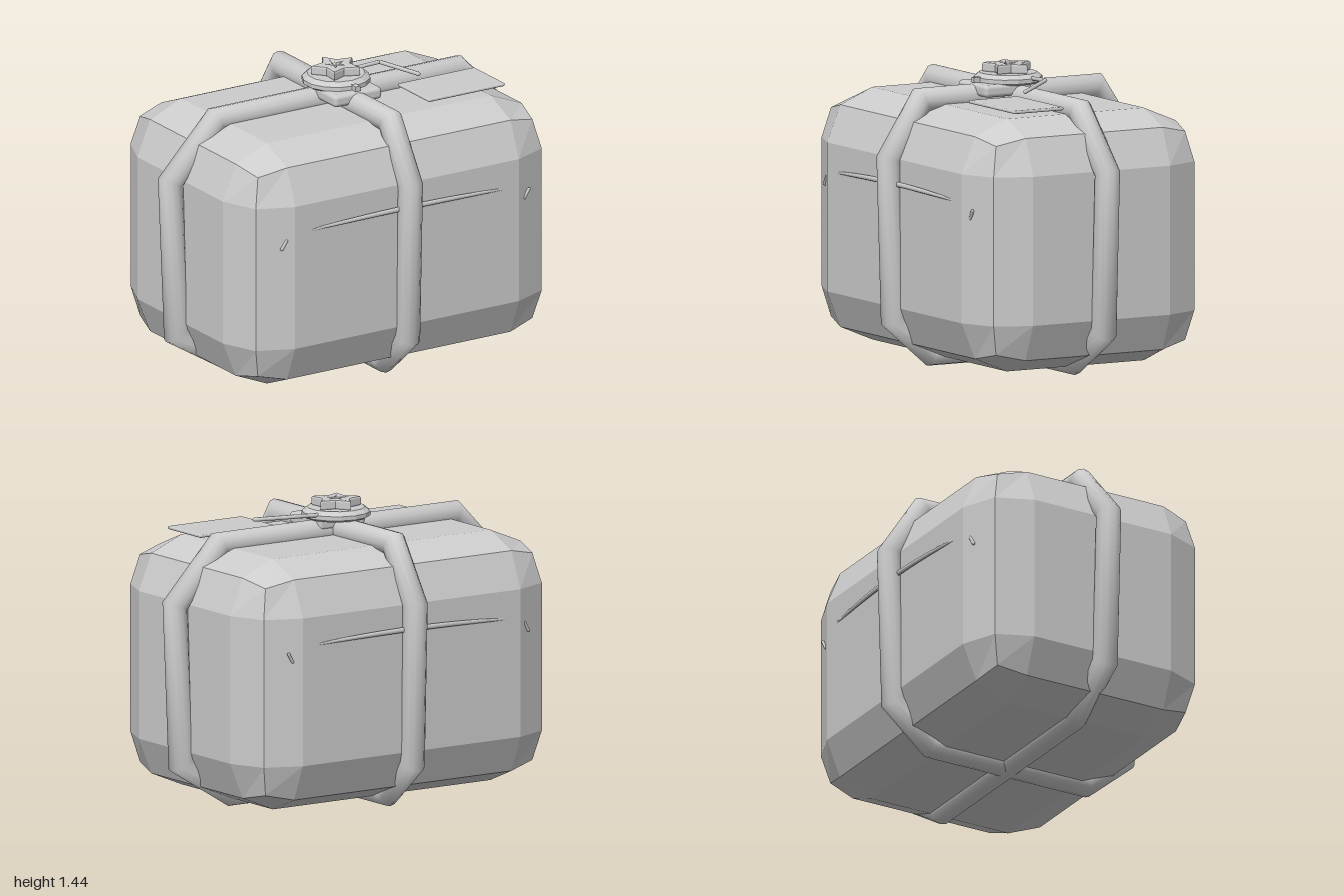
import * as THREE from 'three';
import { RoundedBoxGeometry } from 'three/addons/geometries/RoundedBoxGeometry.js';

const grey = new THREE.MeshStandardMaterial({ color: 0xcccccc, side: THREE.DoubleSide });
grey.name = 'plain grey';

function add(parent, name, geometry, x = 0, y = 0, z = 0) {
  const mesh = new THREE.Mesh(geometry, grey);
  mesh.name = name;
  mesh.position.set(x, y, z);
  parent.add(mesh);
  return mesh;
}

function flat(geometry) {
  const g = geometry.index ? geometry.toNonIndexed() : geometry;
  g.computeVertexNormals();
  return g;
}

// Box whose edges are rounded in two facets, with one point at each corner
function bundleGeometry(half, r) {
  const g = new THREE.BoxGeometry(1, 1, 1, 3, 3, 3);
  const p = g.attributes.position;
  const v = new THREE.Vector3();
  for (let i = 0; i < p.count; i++) {
    v.fromBufferAttribute(p, i);
    const c = v.toArray();
    const dir = new THREE.Vector3(...c.map((a) => (Math.abs(a) > 0.4 ? Math.sign(a) : 0))).normalize();
    v.set(...c.map((a, k) => Math.sign(a) * half[k])).addScaledVector(dir, r);
    p.setXYZ(i, v.x, v.y, v.z);
  }
  return flat(g);
}

// Closed mitred round strap in the XY plane, mirrored from its right half
function strapGeometry(rightHalf, r, sides = 12) {
  const left = rightHalf.map(([x, y]) => [-x, y]).reverse();
  const pts = [...rightHalf, ...left].map(([x, y]) => new THREE.Vector2(x, y));
  const n = pts.length;
  const outward = (a, b) => {
    const d = b.clone().sub(a).normalize();
    return new THREE.Vector2(-d.y, d.x);
  };
  const pos = [];
  const idx = [];
  for (let i = 0; i < n; i++) {
    const n1 = outward(pts[(i + n - 1) % n], pts[i]);
    const n2 = outward(pts[i], pts[(i + 1) % n]);
    const m = n1.clone().add(n2).multiplyScalar(r / (1 + n1.dot(n2)));
    for (let k = 0; k < sides; k++) {
      const a = (k / sides) * Math.PI * 2;
      pos.push(pts[i].x + m.x * Math.cos(a), pts[i].y + m.y * Math.cos(a), r * Math.sin(a));
      const k2 = (k + 1) % sides;
      const j = (i + 1) % n;
      const [A, B, C, D] = [i * sides + k, i * sides + k2, j * sides + k, j * sides + k2];
      idx.push(A, B, C, B, D, C);
    }
  }
  const g = new THREE.BufferGeometry();
  g.setAttribute('position', new THREE.Float32BufferAttribute(pos, 3));
  g.setIndex(idx);
  g.computeVertexNormals();
  return g;
}

function starPoints(outer, inner) {
  return Array.from({ length: 10 }, (_, i) => {
    const a = Math.PI / 2 + (i * Math.PI) / 5;
    const r = i % 2 ? inner : outer;
    return new THREE.Vector2(r * Math.cos(a), r * Math.sin(a));
  });
}

// Thin bowed crease, pointed at both ends
function creaseGeometry() {
  const g = new THREE.SphereGeometry(1, 8, 24).rotateZ(Math.PI / 2);
  const p = g.attributes.position;
  for (let i = 0; i < p.count; i++) {
    const x = p.getX(i);
    const bow = 0.02 * (1 - x * x);
    p.setXYZ(i, x * 0.58, 0.882 + bow + p.getY(i) * 0.013, 0.625 + bow + p.getZ(i) * 0.01);
  }
  g.computeVertexNormals();
  return g;
}

function addRod(parent, name, from, to, r) {
  const a = new THREE.Vector3(...from);
  const d = new THREE.Vector3(...to).sub(a);
  const rod = add(parent, name, new THREE.CapsuleGeometry(r, d.length(), 3, 8));
  rod.position.copy(a).addScaledVector(d, 0.5);
  rod.quaternion.setFromUnitVectors(new THREE.Vector3(0, 1, 0), d.normalize());
}

export function createModel() {
  const model = new THREE.Group();
  model.name = 'strappedBundle';

  add(model, 'bundle', bundleGeometry([0.635, 0.36, 0.38], 0.25), 0, 0.66, 0);

  // Straps around the bundle, crossing on top and underneath
  add(model, 'longStrap', strapGeometry(
    [[0.684, 1.285], [0.939, 1.017], [0.906, 0.245], [0.613, 0.065]], 0.06));
  add(model, 'crossStrap', strapGeometry(
    [[0.482, 1.29], [0.66, 1.018], [0.636, 0.243], [0.428, 0.065]], 0.06)).rotation.y = Math.PI / 2;

  // Creases and small stitches on front and back
  for (const side of [1, -1]) {
    add(model, 'crease', creaseGeometry()).rotation.y = side > 0 ? 0 : Math.PI;
    for (const x of [-0.685, 0.692]) {
      addRod(model, 'stitch', [x - 0.012, 0.81, side * 0.608], [x + 0.012, 0.85, side * 0.611], 0.008);
    }
  }

  // Buckle: block, round plate and star
  const buckle = new THREE.Group();
  buckle.name = 'buckle';
  model.add(buckle);
  add(buckle, 'buckleBlock', new RoundedBoxGeometry(0.27, 0.06, 0.26, 2, 0.02), 0, 1.325, 0.073);
  const rim = [[0, 1.345], [0.15, 1.345], [0.165, 1.355], [0.165, 1.375], [0.14, 1.395], [0, 1.395]]
    .map(([x, y]) => new THREE.Vector2(x, y));
  add(buckle, 'buckleDisc', flat(new THREE.LatheGeometry(rim, 14)));
  add(buckle, 'buckleTab', new THREE.BoxGeometry(0.026, 0.025, 0.05), 0, 1.368, 0.17);

  const star = new THREE.Shape(starPoints(0.107, 0.058));
  star.holes.push(new THREE.Path(starPoints(0.062, 0.028).reverse()));
  const starGeometry = new THREE.ExtrudeGeometry(star, {
    depth: 0.03, bevelEnabled: true, bevelThickness: 0.01, bevelSize: 0.012, bevelSegments: 2,
  });
  add(buckle, 'star', starGeometry.rotateX(-Math.PI / 2), 0, 1.4, 0);

  // Faceted star-shaped hollow
  const pit = new THREE.ConeGeometry(1, 0.025, 10, 1, true).rotateX(Math.PI);
  const pp = pit.attributes.position;
  const tips = starPoints(0.058, 0.026);
  for (let i = 0; i < pp.count; i++) {
    if (pp.getY(i) < 0) continue;
    const a = Math.atan2(-pp.getZ(i), pp.getX(i)) - Math.PI / 2;
    const t = tips[((Math.round(a / (Math.PI / 5)) % 10) + 10) % 10];
    pp.setXYZ(i, t.x, pp.getY(i), -t.y);
  }
  add(buckle, 'starHollow', flat(pit), 0, 1.418, 0);

  // Cord leading from the buckle to the tag
  const cord = [[0.14, 1.375, -0.05], [0.275, 1.382, -0.045], [0.385, 1.352, 0.13]];
  for (let i = 0; i < 2; i++) addRod(model, 'tagCord', cord[i], cord[i + 1], 0.01);

  add(model, 'tag', new RoundedBoxGeometry(0.435, 0.016, 0.275, 2, 0.007), 0.498, 1.31, 0.247);
  return model;
}
